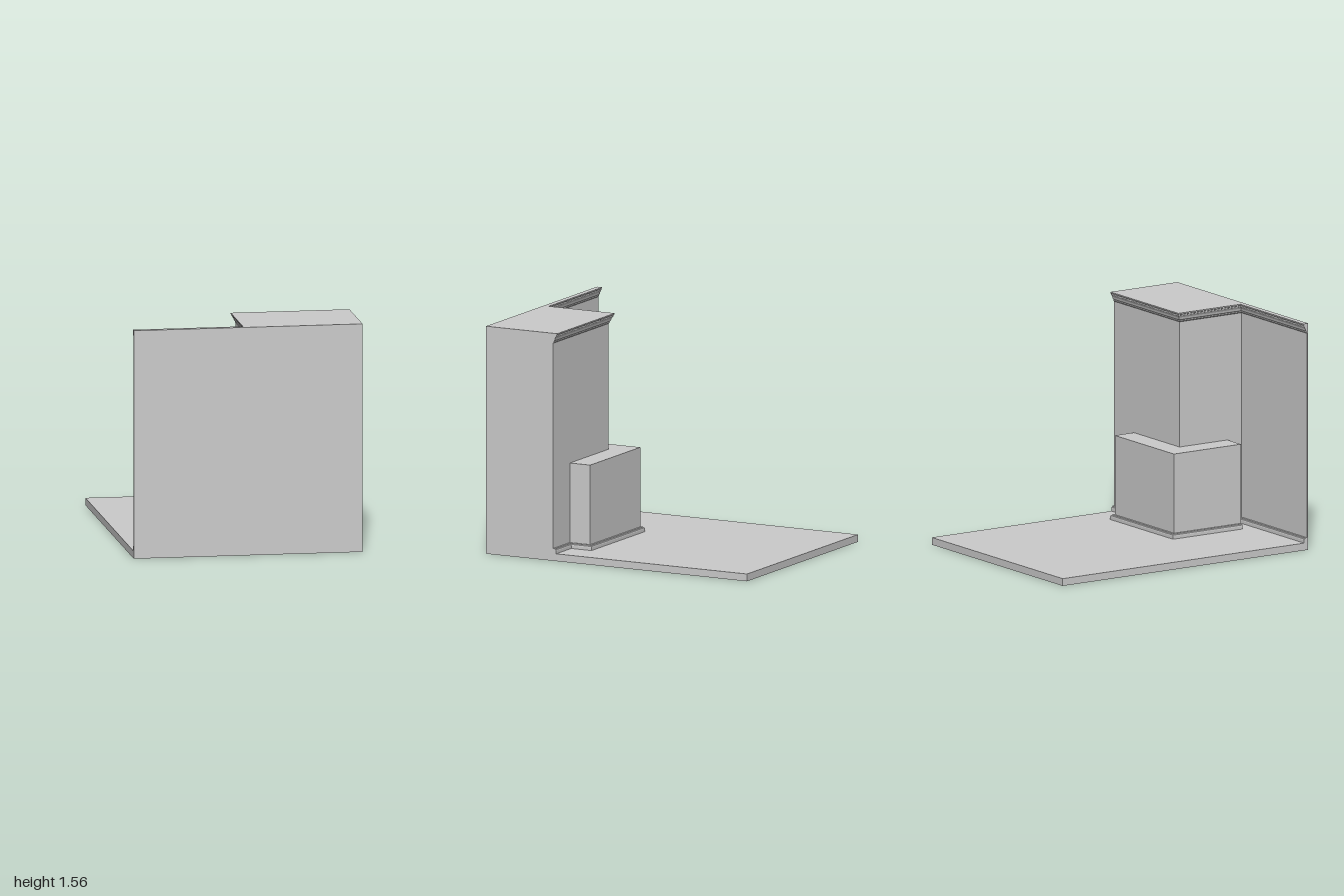
import * as THREE from 'three';

const W = 0.78, TOP = 1.56, FLOOR = 0.05;
const material = new THREE.MeshStandardMaterial({ color: 0xcccccc, flatShading: true });

function addMesh(group, name, geometry) {
  const mesh = new THREE.Mesh(geometry, material);
  mesh.name = name;
  group.add(mesh);
}

// Upright prism from a floor plan given as [x, z] corners
function prism(plan, y0, y1) {
  const shape = new THREE.Shape(plan.map(([x, z]) => new THREE.Vector2(x, -z)));
  const geometry = new THREE.ExtrudeGeometry(shape, { depth: y1 - y0, bevelEnabled: false });
  return geometry.rotateX(-Math.PI / 2).translate(0, y0, 0);
}

// Moulding: sweeps a closed [outward, y] profile along an [x, z] path with mitred right-angle corners
function moulding(path, profile) {
  const normals = path.slice(1).map(([x, z], i) => {
    const dx = x - path[i][0], dz = z - path[i][1], len = Math.hypot(dx, dz);
    return [-dz / len, dx / len];
  });
  const rings = path.map(([x, z], i) => {
    const a = normals[i - 1], b = normals[i];
    const m = a && b ? [a[0] + b[0], a[1] + b[1]] : a || b;
    return profile.map(([out, y]) => [x + m[0] * out, y, z + m[1] * out]);
  });
  const positions = [];
  const tri = (a, b, c) => positions.push(...a, ...b, ...c);
  const n = profile.length;
  for (let i = 0; i < rings.length - 1; i++) {
    for (let j = 0; j < n; j++) {
      const k = (j + 1) % n, r = rings[i], s = rings[i + 1];
      tri(r[j], s[j], s[k]);
      tri(r[j], s[k], r[k]);
    }
  }
  // End caps
  const first = rings[0], last = rings[rings.length - 1];
  const points = profile.map(([x, y]) => new THREE.Vector2(x, y));
  for (const [a, b, c] of THREE.ShapeUtils.triangulateShape(points, [])) {
    tri(first[a], first[b], first[c]);
    tri(last[c], last[b], last[a]);
  }
  const geometry = new THREE.BufferGeometry();
  geometry.setAttribute('position', new THREE.Float32BufferAttribute(positions, 3));
  geometry.computeVertexNormals();
  return geometry;
}

export function createModel() {
  const group = new THREE.Group();
  group.name = 'roomCorner';

  // Floor slab
  addMesh(group, 'floor', new THREE.BoxGeometry(2 * W, FLOOR, 2).translate(0, FLOOR / 2, 0));

  // Thin wall with a deep chimney breast on one half
  const wallLine = [[W, 0.485], [0, 0.485], [0, 0.99], [-W, 0.99]];
  addMesh(group, 'wall', prism([...wallLine, [-W, 1], [W, 1]], FLOOR, TOP));

  // Low block wrapped around the corner of the breast
  const blockLine = [[0.545, 0.485], [0.545, 0.33], [-0.16, 0.33], [-0.16, 0.875]];
  addMesh(group, 'lowBlock', prism([...blockLine, [0, 0.875], [0, 0.485]], FLOOR, 0.63));

  // Stepped crown along the top of the wall
  addMesh(group, 'crownMoulding', moulding(wallLine, [
    [0, 1.492], [0.005, 1.498], [0.005, 1.506], [0.011, 1.513], [0.014, 1.525],
    [0.021, 1.538], [0.024, 1.54], [0.024, 1.548], [0.03, 1.552], [0.03, TOP], [0, TOP],
  ]));

  // Skirting boards along the wall and the block
  const skirting = [
    [0, FLOOR], [0.023, FLOOR], [0.023, 0.07], [0.021, 0.077], [0.015, 0.08], [0.013, 0.085], [0, 0.085],
  ];
  addMesh(group, 'wallSkirting', moulding(wallLine, skirting));
  addMesh(group, 'blockSkirting', moulding(blockLine, skirting));

  return group;
}
